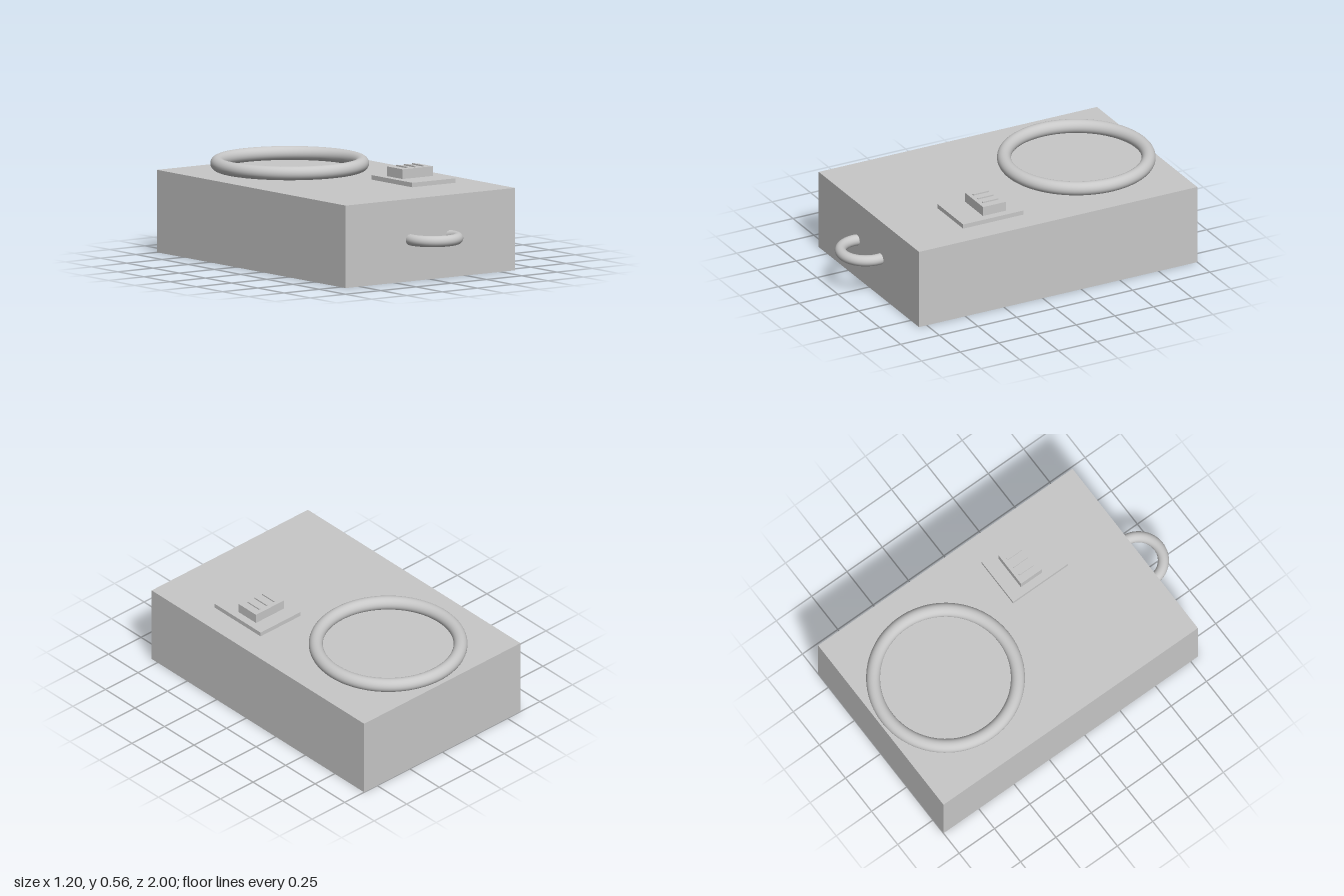
import * as THREE from 'three';

export function createModel() {
  const model = new THREE.Group();
  const grey = new THREE.MeshStandardMaterial({ color: 0xc8c8c8 });
  grey.name = 'light grey';

  const add = (name, geometry, x, y, z) => {
    const mesh = new THREE.Mesh(geometry, grey);
    mesh.name = name;
    mesh.position.set(x, y, z);
    model.add(mesh);
    return mesh;
  };
  // Box given by its bottom height
  const box = (name, w, h, d, x, bottom, z) =>
    add(name, new THREE.BoxGeometry(w, h, d), x, bottom + h / 2, z);
  // Ring lying flat
  const ring = (name, radius, tube, y, z) =>
    add(name, new THREE.TorusGeometry(radius, tube, 24, 96).rotateX(Math.PI / 2), 0, y, z);

  // Main case
  box('body', 1.2, 0.474, 1.8, 0, 0, -0.1);

  // Large ring on the top, and the pull ring sunk into the front
  ring('topRing', 0.412, 0.04, 0.514, -0.542);
  ring('frontHandle', 0.143, 0.032, 0.239, 0.822);

  // Stepped switch with three thin raised ribs
  box('switchPlate', 0.305, 0.026, 0.39, 0.297, 0.474, 0.238);
  box('switchBlock', 0.214, 0.056, 0.148, 0.297, 0.5, 0.206);
  for (let i = -1; i <= 1; i++) {
    box('switchRib', 0.009, 0.008, 0.1, 0.297 + i * 0.057, 0.556, 0.206);
  }

  return model;
}
